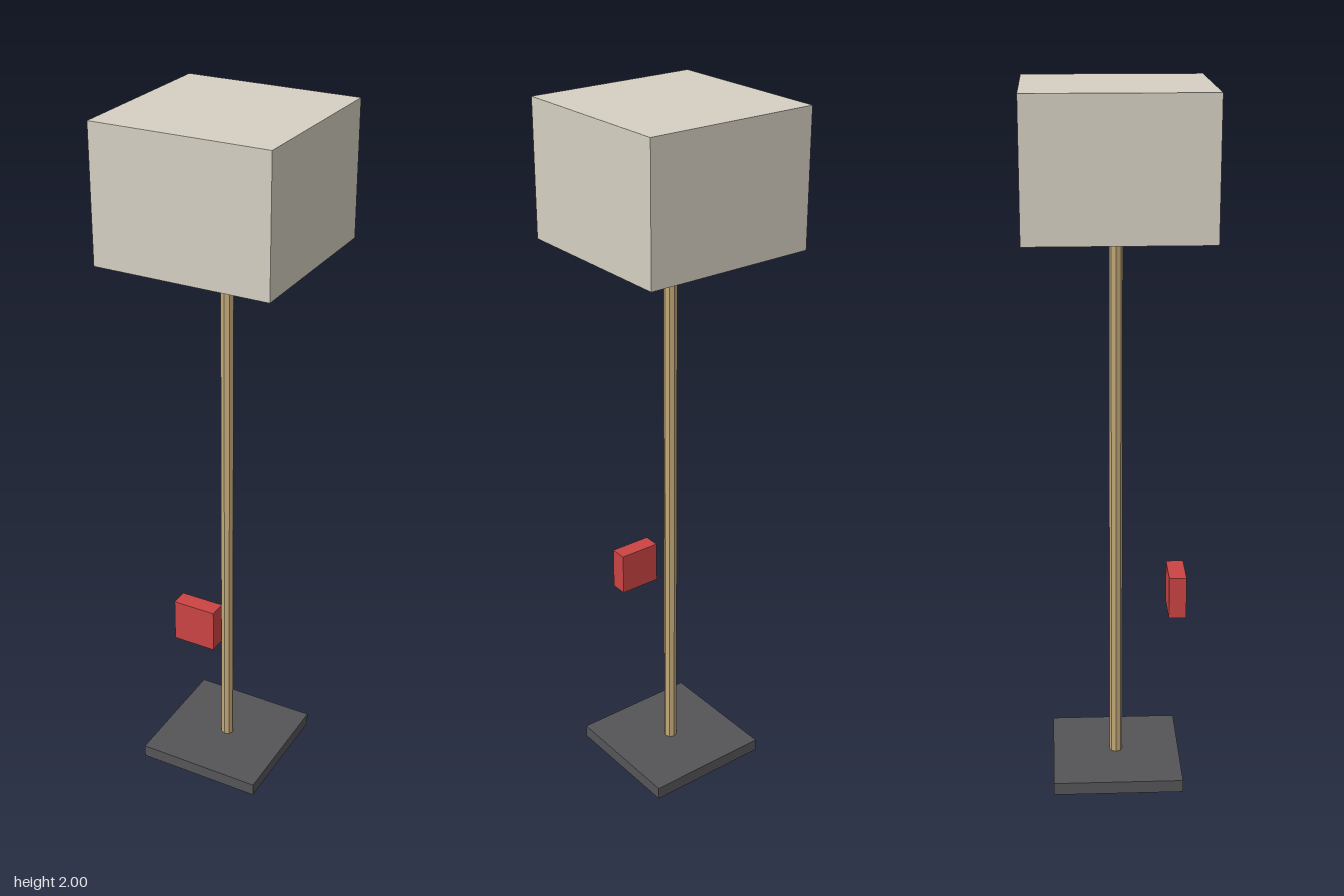
import * as THREE from 'three';

export function createModel() {
  const model = new THREE.Group();

  const add = (name, geometry, color, y, z = 0) => {
    const material = new THREE.MeshStandardMaterial({ color, flatShading: true });
    const mesh = new THREE.Mesh(geometry, material);
    mesh.name = name;
    mesh.position.set(0, y, z);
    model.add(mesh);
  };

  // Square foot plate
  add('base', new THREE.BoxGeometry(0.375, 0.0375, 0.375), 0x555558, 0.01875);
  // Slim eight-sided pole from the plate up to the shade
  add('pole', new THREE.CylinderGeometry(0.01875, 0.01875, 1.5875, 8), 0xc2a878, 0.83125);
  // Box shade
  add('shade', new THREE.BoxGeometry(0.5, 0.375, 0.5), 0xd6d0c2, 1.8125);
  // Red switch block floating in front of the pole
  add('switch', new THREE.BoxGeometry(0.125, 0.125, 0.05), 0xcc4444, 0.5625, 0.175);

  return model;
}
